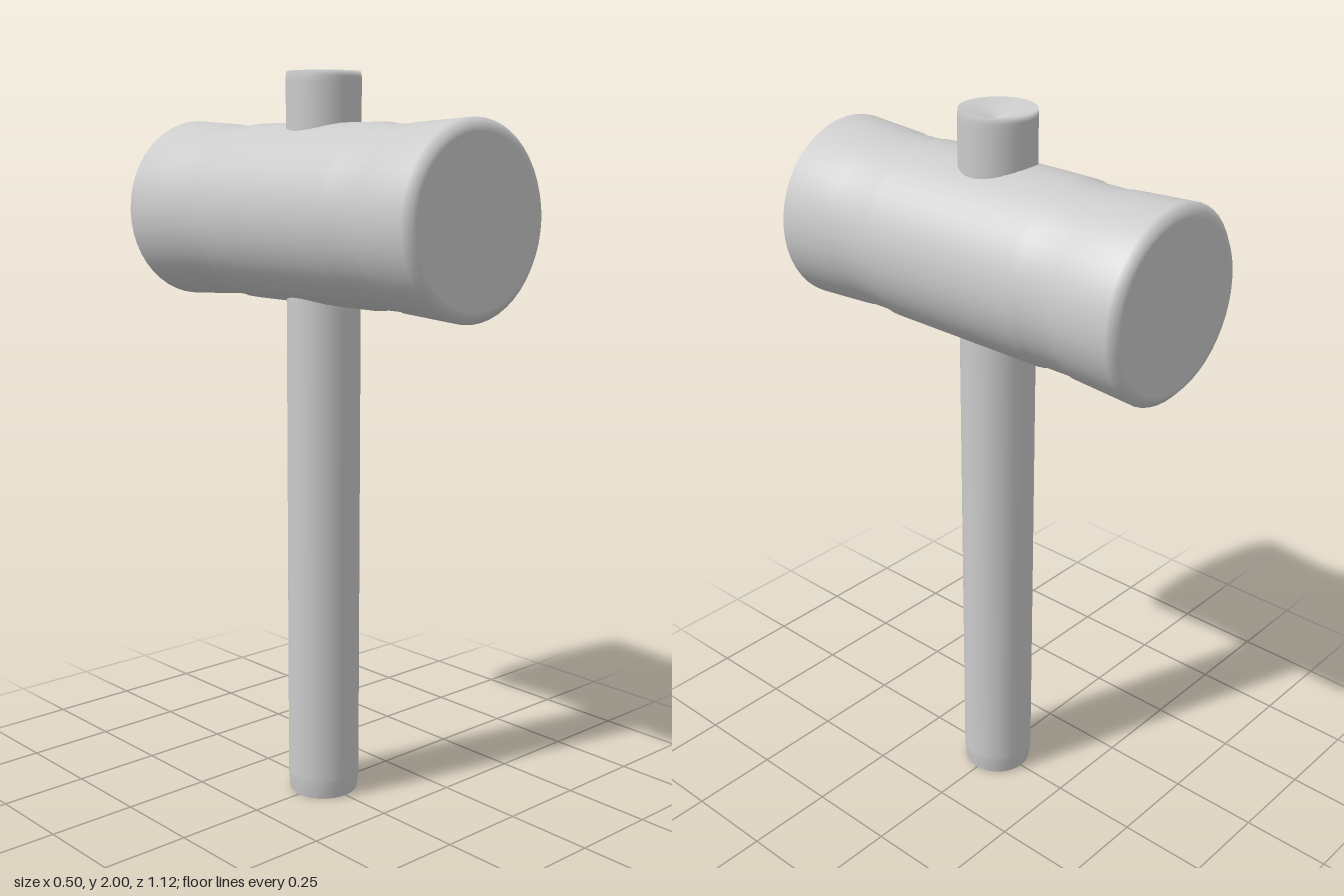
import * as THREE from 'three';

const material = new THREE.MeshStandardMaterial({ color: 0xcccccc });

// Smooth turned part from [radius, height] pairs, listed bottom to top
function turned(name, profile, segments) {
  const points = profile.map(([r, y]) => new THREE.Vector2(r, y));
  const mesh = new THREE.Mesh(new THREE.LatheGeometry(points, segments), material);
  mesh.name = name;
  return mesh;
}

export function createModel() {
  const group = new THREE.Group();
  group.name = 'mallet';

  // Long handle with shallow dished ends, running through the head
  group.add(turned('handle', [
    [0, 0.03], [0.093, 0], [0.095, 0.002], [0.1, 0.045],
    [0.1, 0.06], [0.1, 1.97], [0.1, 1.985], [0.098, 2], [0, 1.97],
  ], 32));

  // Barrel head: half profile from the striking face to the middle, mirrored
  const half = [
    [0, 0.56], [0.215, 0.56], [0.228, 0.559], [0.248, 0.541],
    [0.238, 0.37], [0.234, 0.355], [0.234, 0.255], [0.239, 0.24],
  ];
  const profile = [
    ...half.map(([r, z]) => [r, -z]),
    ...half.slice().reverse(),
  ];
  const head = turned('head', profile, 48);
  head.geometry.rotateX(Math.PI / 2);
  head.position.y = 1.63;
  group.add(head);

  return group;
}
